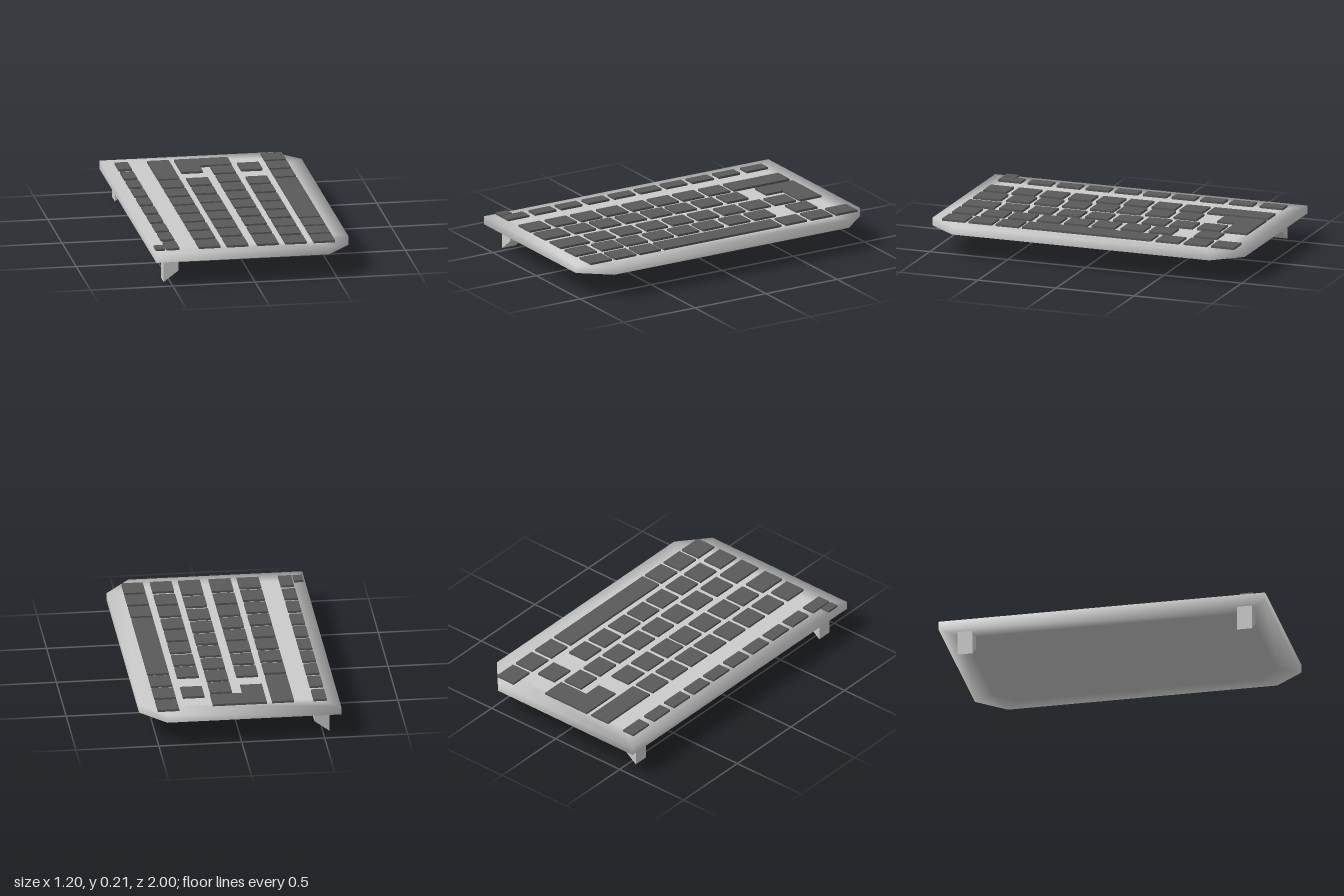
import * as THREE from 'three';

const bodyMaterial = new THREE.MeshStandardMaterial({ color: 0xcccccc });
const keyMaterial = new THREE.MeshStandardMaterial({ color: 0x5a5a5a });
const KEY_Y = 0.2, KEY_H = 0.013;

// Closed slab with two clipped corners; its normals roll softly over the rims
function bodyGeometry() {
  const outer = [[-0.6, -1], [0.45, -1], [0.6, -0.83], [0.6, 0.82], [0.45, 1], [-0.6, 1]];
  const inner = [[-0.45, -0.87], [0.38, -0.87], [0.49, -0.74], [0.49, 0.73], [0.38, 0.87], [-0.45, 0.87]];
  const outward = [[-1, -0.3], [0.4, -0.9], [0.9, -0.4], [0.9, 0.4], [0.4, 0.9], [-1, 0.3]];
  const rings = [ // outline, height, outward and upward share of the normal
    [inner, 0.2, 0, 1],
    [outer, 0.2, 1, 0.45],
    [outer, 0.15, 1, 0],
    [inner, 0.15, 0, -1],
  ];
  const n = outer.length, pos = [], nor = [], idx = [];
  for (const [outline, y, out, up] of rings) {
    outline.forEach(([x, z], i) => {
      const v = new THREE.Vector3(outward[i][0] * out, up, outward[i][1] * out).normalize();
      pos.push(x, y, z);
      nor.push(v.x, v.y, v.z);
    });
  }
  for (let r = 0; r < rings.length - 1; r++) {
    for (let i = 0; i < n; i++) {
      const j = (i + 1) % n, a = r * n + i, b = r * n + j;
      idx.push(a, b, a + n, b, b + n, a + n);
    }
  }
  const last = (rings.length - 1) * n;
  for (let i = 1; i < n - 1; i++) {
    idx.push(0, i + 1, i);
    idx.push(last, last + i, last + i + 1);
  }
  const g = new THREE.BufferGeometry();
  g.setAttribute('position', new THREE.Float32BufferAttribute(pos, 3));
  g.setAttribute('normal', new THREE.Float32BufferAttribute(nor, 3));
  g.setIndex(idx);
  return g;
}

function add(parent, name, geometry, material) {
  const mesh = new THREE.Mesh(geometry, material);
  mesh.name = name;
  parent.add(mesh);
  return mesh;
}

// Flat key covering x0..x1 and z0..z1
function addKey(parent, name, x0, x1, z0, z1) {
  add(parent, name, new THREE.BoxGeometry(x1 - x0, KEY_H, z1 - z0), keyMaterial)
    .position.set((x0 + x1) / 2, KEY_Y + KEY_H / 2, (z0 + z1) / 2);
}

const shapeFrom = (points) => new THREE.Shape(points.map(([x, y]) => new THREE.Vector2(x, y)));

// Rows of keys: x range, starts of the standard keys, and odd-sized keys as [z0, z1]
const S = 0.148;
const rows = [
  { name: 'functionKey', x: [-0.525, -0.445],
    starts: [-0.902, -0.707, -0.521, -0.337, -0.155, 0.029, 0.213, 0.4, 0.585, 0.776], odd: [] },
  { name: 'numberKey', x: [-0.327, -0.196],
    starts: [-0.484, -0.304, -0.124, 0.053, 0.233, 0.413, 0.593, 0.775], odd: [[-0.902, -0.512]] },
  { name: 'upperLetterKey', x: [-0.157, -0.026],
    starts: [-0.509, -0.327, -0.145, 0.027, 0.206, 0.386, 0.563], odd: [[0.745, 0.923]] },
  { name: 'homeLetterKey', x: [0.027, 0.158],
    starts: [-0.73, -0.552, -0.374, -0.191, -0.011, 0.17, 0.353, 0.538], odd: [[0.72, 0.923]] },
  { name: 'lowerLetterKey', x: [0.198, 0.328],
    starts: [-0.774, -0.483, -0.304, -0.119, 0.056, 0.233, 0.416, 0.589, 0.775], odd: [] },
  { name: 'bottomKey', x: [0.371, 0.5],
    starts: [-0.949, -0.774, -0.595, 0.43, 0.603, 0.775], odd: [[-0.417, 0.408]] },
];

export function createModel() {
  const model = new THREE.Group();
  model.name = 'keyboard';
  add(model, 'body', bodyGeometry(), bodyMaterial);

  // Key rows
  for (const row of rows) {
    const group = new THREE.Group();
    group.name = row.name + 'Row';
    model.add(group);
    const [x0, x1] = row.x;
    for (const z of row.starts) addKey(group, row.name, x0, x1, z, z + S);
    for (const [z0, z1] of row.odd) addKey(group, 'long ' + row.name, x0, x1, z0, z1);
  }

  // Small corner key
  addKey(model, 'smallKey', -0.59, -0.533, 0.843, 0.923);

  // L-shaped key; shape y is -z
  const lShape = shapeFrom([
    [-0.163, 0.904], [-0.163, 0.637], [-0.033, 0.637],
    [-0.033, 0.755], [0.162, 0.755], [0.162, 0.904],
  ]);
  const lKey = new THREE.ExtrudeGeometry(lShape, { depth: KEY_H, bevelEnabled: false });
  lKey.rotateX(-Math.PI / 2);
  add(model, 'enterKey', lKey, keyMaterial).position.y = KEY_Y;

  // Two feet with slanted undersides
  const footShape = shapeFrom([[-0.54, 0], [-0.45, 0.068], [-0.45, 0.155], [-0.54, 0.155]]);
  for (const z of [0.814, -0.897]) {
    const foot = new THREE.ExtrudeGeometry(footShape, { depth: 0.094, bevelEnabled: false });
    add(model, 'foot', foot, bodyMaterial).position.z = z;
  }
  return model;
}
